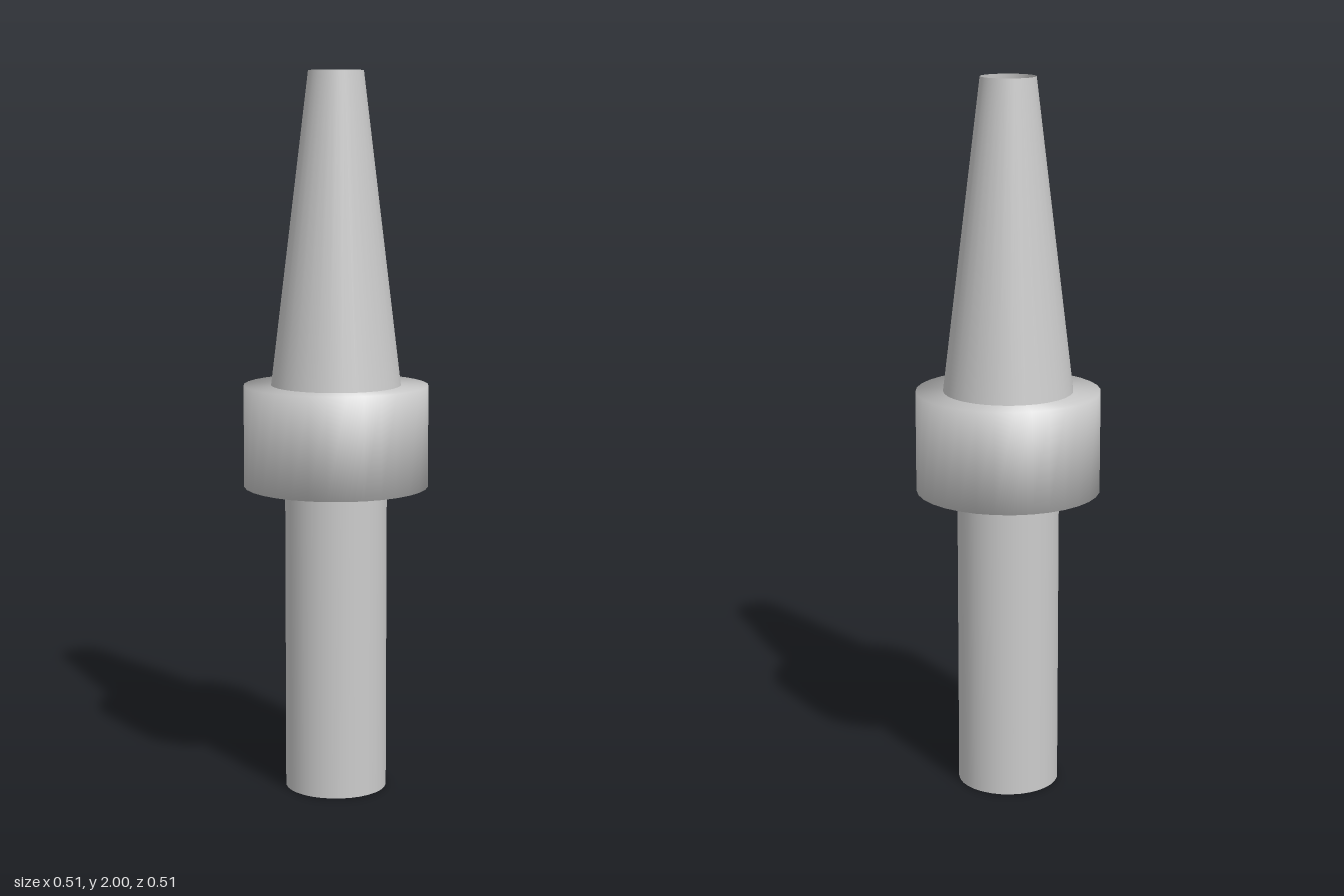
import * as THREE from 'three';
import { mergeVertices } from 'three/addons/utils/BufferGeometryUtils.js';

const SEGMENTS = 32;
const material = new THREE.MeshStandardMaterial({ color: 0xcccccc, side: THREE.DoubleSide });

// Round section between two heights, optionally open at both ends
function section(name, bottomRadius, topRadius, y0, y1, open) {
  let geometry = new THREE.CylinderGeometry(topRadius, bottomRadius, y1 - y0, SEGMENTS, 1, open);
  if (!open) {
    // Share the rim vertices so the shading runs softly over the edges
    geometry.deleteAttribute('normal');
    geometry.deleteAttribute('uv');
    geometry = mergeVertices(geometry, 1e-4);
    geometry.computeVertexNormals();
  }
  const mesh = new THREE.Mesh(geometry, material);
  mesh.name = name;
  mesh.position.y = (y0 + y1) / 2;
  return mesh;
}

export function createModel() {
  const group = new THREE.Group();
  group.name = 'taperedNozzle';

  // Hollow straight shank
  group.add(section('shank', 0.142, 0.142, 0, 0.86, true));
  // Solid collar, which also closes the inside of the shank and the tip
  group.add(section('collar', 0.256, 0.256, 0.86, 1.143, false));
  // Hollow tapered tip
  group.add(section('taperedTip', 0.18, 0.076, 1.143, 2, true));

  return group;
}
